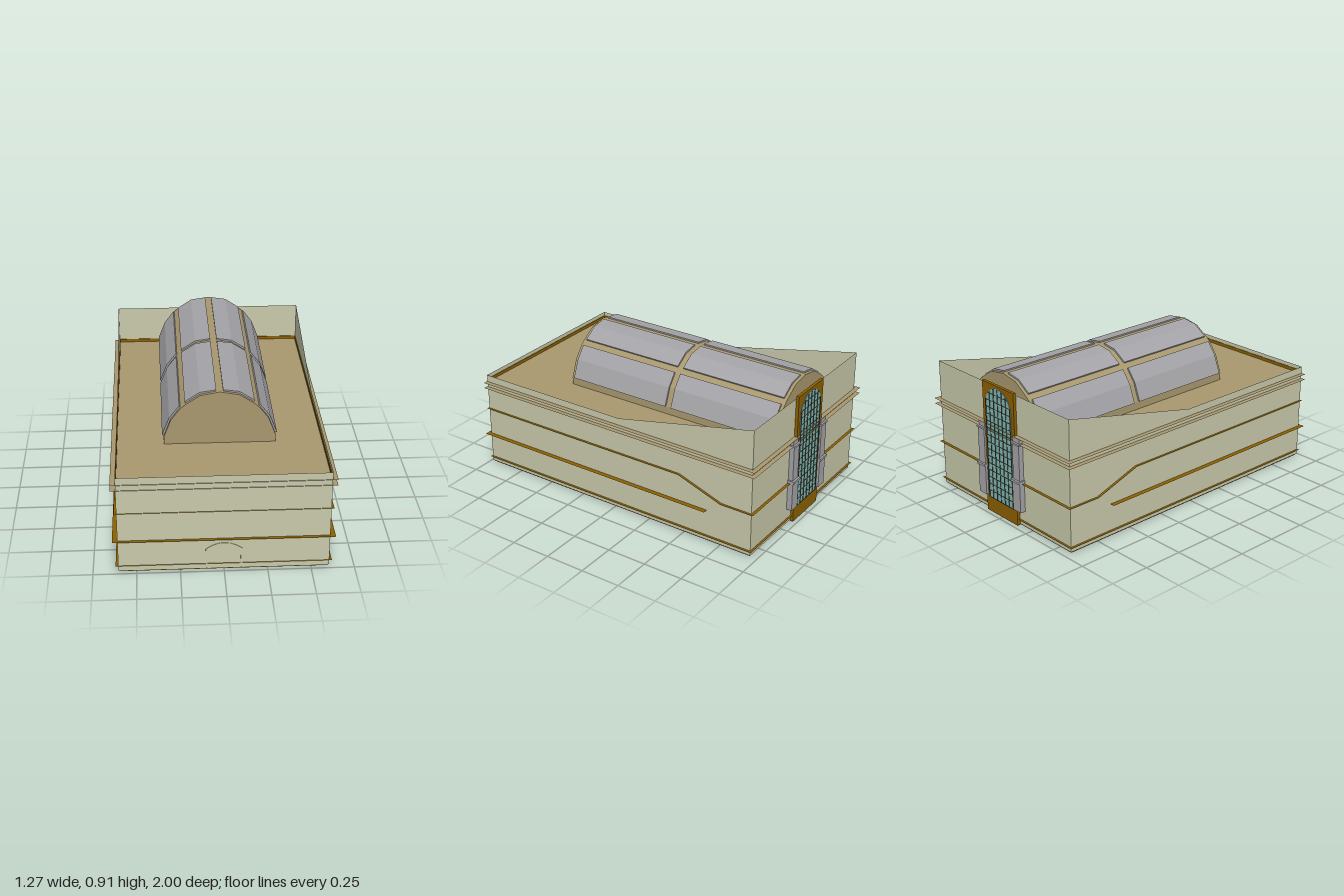
import * as THREE from 'three';

const paint = (color) => new THREE.MeshStandardMaterial({ color, side: THREE.DoubleSide, flatShading: true });

export function createModel() {
  const model = new THREE.Group();
  const wallMat = paint(0xc8c9aa), tan = paint(0xa8986e), ochre = paint(0x8c6000);
  const grey = paint(0xa4a4a8), glassMat = paint(0x7fbab8), dark = paint(0x4a3c20);

  const add = (name, geometry, material) => {
    const mesh = new THREE.Mesh(geometry, material);
    mesh.name = name;
    model.add(mesh);
    return mesh;
  };
  // Box given by its limits on each axis
  const box = (name, mat, x0, x1, y0, y1, z0, z1) =>
    add(name, new THREE.BoxGeometry(x1 - x0, y1 - y0, z1 - z0), mat)
      .position.set((x0 + x1) / 2, (y0 + y1) / 2, (z0 + z1) / 2);
  const outline = (points) => new THREE.Shape(points.map(([x, y]) => new THREE.Vector2(x, y)));
  const extrude = (name, shape, mat, z0, z1) =>
    add(name, new THREE.ExtrudeGeometry(shape, { depth: z1 - z0, bevelEnabled: false }), mat).position.z = z0;
  // Zero-thickness floor following a (z, y) path
  const floor = (name, mat, halfWidth, path) => {
    for (let i = 0; i + 1 < path.length; i++) {
      const [z0, y0] = path[i], [z1, y1] = path[i + 1];
      const g = new THREE.PlaneGeometry(2 * halfWidth, Math.hypot(z1 - z0, y1 - y0));
      g.rotateX(-Math.PI / 2 + Math.atan2(y1 - y0, z0 - z1));
      add(name, g, mat).position.set(0, (y0 + y1) / 2, (z0 + z1) / 2);
    }
  };

  const W = 0.605, FRONT = 0.98, BACK = -0.957;

  // Outer walls: thin sheets, the side walls rise towards the back
  const sideShape = outline([[-FRONT, 0.01], [-BACK, 0.01], [-BACK, 0.82], [0.04, 0.62], [-FRONT, 0.62]]);
  for (const s of [-1, 1]) {
    const side = add('sideWall', new THREE.ShapeGeometry(sideShape), wallMat);
    side.rotation.y = Math.PI / 2;
    side.position.x = s * W;
  }
  add('frontWall', new THREE.PlaneGeometry(2 * W, 0.61), wallMat).position.set(0, 0.315, FRONT);
  add('backWall', new THREE.PlaneGeometry(2 * W, 0.81), wallMat).position.set(0, 0.415, BACK);

  // Base slab and the floors whose edges pass through the walls
  box('baseSlab', ochre, -0.598, 0.598, 0.002, 0.012, -0.95, 0.975);
  floor('groundFloor', ochre, 0.62, [[0.985, 0.042], [-0.97, 0.042]]);
  floor('lowerFloor', ochre, 0.635, [[1, 0.21], [-0.66, 0.21]]);
  floor('steppedFloor', ochre, 0.62, [[0.985, 0.39], [-0.47, 0.39], [-0.76, 0.29], [-0.975, 0.29]]);
  floor('ceiling', tan, 0.635, [[0.985, 0.54], [-0.985, 0.54]]);
  floor('roofDeck', tan, 0.635, [[0.985, 0.575], [-0.985, 0.575]]);

  // Skirting around the inside of the parapet
  for (const s of [-1, 1]) box('sideSkirting', ochre, s * 0.602 - 0.002, s * 0.602 + 0.002, 0.575, 0.595, BACK, FRONT);
  box('frontSkirting', ochre, -W, W, 0.575, 0.595, FRONT - 0.005, FRONT - 0.001);
  box('backSkirting', ochre, -W, W, 0.575, 0.595, BACK + 0.001, BACK + 0.005);

  // Inner columns, their feet show in the base
  for (const s of [-1, 1])
    for (let i = 0; i < 6; i++) {
      const z = -0.51 + i * 0.183;
      box('innerColumn', grey, s * 0.37 - 0.022, s * 0.37 + 0.022, 0, 0.54, z - 0.022, z + 0.022);
    }

  // Faceted barrel vault
  const arc = [[0.327, 0.62], [0.285, 0.73], [0.23, 0.802], [0.2, 0.828], [0.113, 0.885], [0, 0.905]];
  const mirrored = arc.slice(0, -1).reverse().map(([x, y]) => [-x, y]);
  extrude('vault', outline([[0.327, 0.575], ...arc, ...mirrored, [-0.327, 0.575]]), tan, -0.93, 0.52);

  // Roof panels laid on the vault, two bays on each side
  const panels = {
    sidePanel: [[0.337, 0.625], [0.294, 0.735], [0.235, 0.812], [0.228, 0.802], [0.284, 0.73], [0.325, 0.625]],
    topPanel: [[0.203, 0.838], [0.115, 0.896], [0.02, 0.91], [0.02, 0.9], [0.112, 0.884], [0.198, 0.828]],
  };
  for (const [name, points] of Object.entries(panels))
    for (const s of [-1, 1])
      for (const [z0, z1] of [[-0.185, 0.5], [-0.91, -0.225]])
        extrude(name, outline(points.map(([x, y]) => [s * x, y])), grey, z0, z1);

  // Tall bay on the back wall with an arched window
  box('windowSurround', ochre, -0.145, 0.145, 0.002, 0.835, -0.976, BACK);
  const archTop = (x) => 0.7 + 0.12 * Math.sqrt(Math.max(0, 1 - (x / 0.118) ** 2));
  const glass = [[-0.118, 0.1], [0.118, 0.1]];
  for (let i = 0; i <= 8; i++) {
    const a = (i / 8) * Math.PI;
    glass.push([0.118 * Math.cos(a), 0.7 + 0.12 * Math.sin(a)]);
  }
  extrude('windowGlass', outline(glass), glassMat, -0.979, -0.974);
  for (let i = -3; i <= 3; i++) {
    const x = i * 0.0375, t = i % 2 ? 0.003 : 0.0015;
    box('verticalBar', dark, x - t, x + t, 0.1, archTop(x) - 0.004, -0.982, -0.978);
  }
  for (let i = 0; i < 16; i++) {
    const y = 0.1 + i * 0.045;
    const h = y > 0.7 ? 0.114 * Math.sqrt(1 - ((y - 0.7) / 0.12) ** 2) : 0.118;
    box('crossBar', dark, -h, h, y - 0.0015, y + 0.0015, -0.981, -0.978);
  }

  // Pilasters beside the window: [half width, bottom, top, back z]
  const pilaster = [
    [0.034, 0.11, 0.295, -0.991], [0.039, 0.295, 0.31, -1],
    [0.03, 0.31, 0.53, -0.987], [0.036, 0.53, 0.542, -0.992], [0.028, 0.542, 0.57, -0.98],
  ];
  for (const s of [-1, 1])
    for (const [w, y0, y1, z] of pilaster)
      box('pilaster', grey, s * 0.163 - w, s * 0.163 + w, y0, y1, z, BACK);

  // Arched doorway outline in the front wall
  const frame = new THREE.Shape();
  frame.moveTo(-0.105, 0.012).lineTo(-0.105, 0.14);
  frame.quadraticCurveTo(0, 0.22, 0.105, 0.14).lineTo(0.105, 0.012).lineTo(0.095, 0.012);
  frame.lineTo(0.095, 0.135).quadraticCurveTo(0, 0.205, -0.095, 0.135).lineTo(-0.095, 0.012);
  extrude('doorFrame', frame, wallMat, FRONT - 0.004, FRONT + 0.003);

  return model;
}
